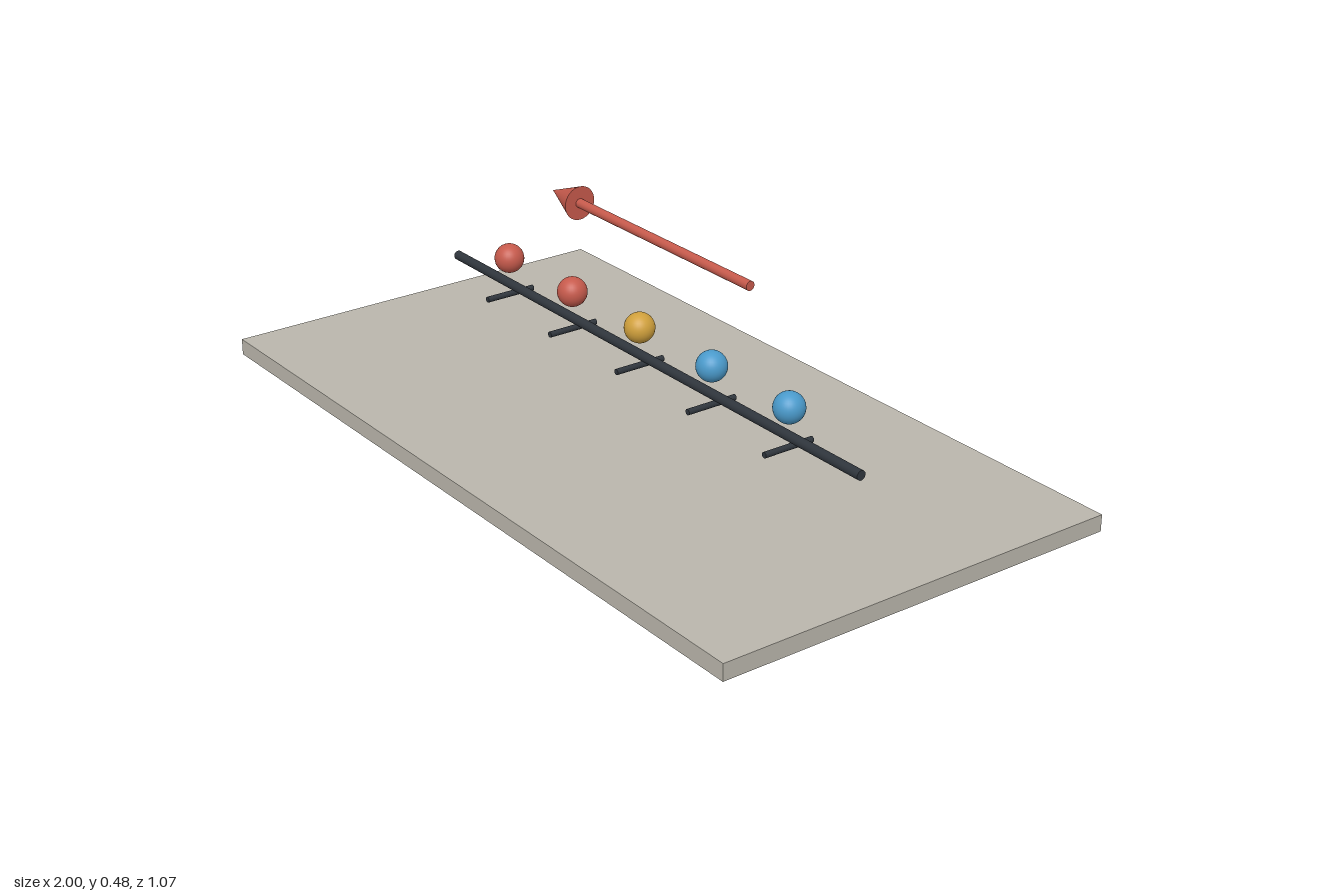
import * as THREE from 'three';

export function createModel() {
  const model = new THREE.Group();
  model.name = 'beadRailDisplay';

  const material = (name, color) => {
    const m = new THREE.MeshStandardMaterial({ color });
    m.name = name;
    return m;
  };
  const stone = material('warm grey', 0xbab6ac);
  const dark = material('charcoal', 0x2f353c);
  const red = material('red', 0xc65a4c);
  const gold = material('gold', 0xd0a03c);
  const blue = material('blue', 0x4a9acb);

  const add = (name, geometry, mat, x, y, z, parent = model) => {
    const mesh = new THREE.Mesh(geometry, mat);
    mesh.name = name;
    mesh.position.set(x, y, z);
    parent.add(mesh);
    return mesh;
  };

  // Flat base slab
  add('base', new THREE.BoxGeometry(2, 0.042, 1.068), stone, 0, 0.021, 0);

  // Long rail along x
  add('rail', new THREE.CylinderGeometry(0.012, 0.012, 1.588, 24).rotateZ(Math.PI / 2), dark, 0, 0.215, 0);

  // Beads above the rail, each with a cross pin below it
  const beadGeometry = new THREE.SphereGeometry(0.0375, 32, 20);
  const pinGeometry = new THREE.CylinderGeometry(0.0075, 0.0075, 0.137, 16).rotateX(Math.PI / 2);
  [red, red, gold, blue, blue].forEach((mat, i) => {
    const x = (i - 2) * 0.2757;
    add('bead' + (i + 1), beadGeometry, mat, x, 0.284, 0);
    add('crossPin' + (i + 1), pinGeometry, dark, x, 0.187, 0);
  });

  // Arrow pointing to -x, behind and above the beads
  const arrow = new THREE.Group();
  arrow.name = 'arrow';
  arrow.position.set(0, 0.435, -0.138);
  model.add(arrow);
  add('arrowShaft', new THREE.CylinderGeometry(0.012, 0.012, 0.677, 24).rotateZ(Math.PI / 2), red, -0.0985, 0, 0, arrow);
  add('arrowHead', new THREE.ConeGeometry(0.044, 0.117, 32).rotateZ(Math.PI / 2), red, -0.4955, 0, 0, arrow);

  return model;
}
